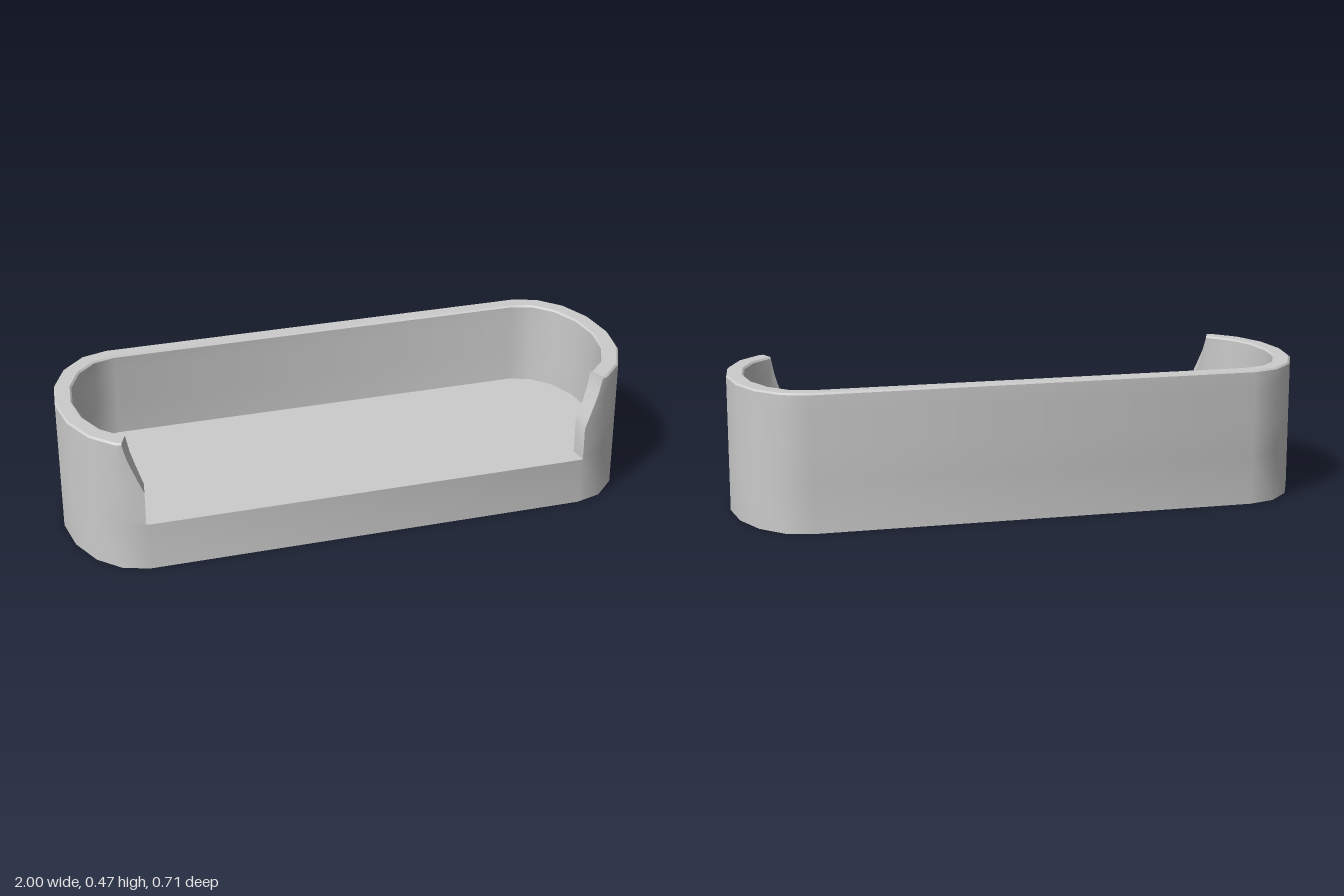
import * as THREE from 'three';
import { toCreasedNormals } from 'three/addons/utils/BufferGeometryUtils.js';

const BASE_H = 0.17;
const OUTER = { cx: 0.765, rx: 0.235, rz: 0.357 };
const INNER = { cx: 0.745, rx: 0.195, rz: 0.3 };
const STEPS = 8; // facets per rounded end

// Corner i of the +x rounded end: 0 is at the front, STEPS at the back
function corner(o, i) {
  const a = (i / STEPS) * Math.PI;
  return new THREE.Vector2(o.cx + o.rx * Math.sin(a), o.rz * Math.cos(a));
}

// Rows of the wall: height, opening (0 narrow .. 1 wide), rim chamfer
const ROWS = [
  [BASE_H, 0, 0], [0.29, 0, 0], [0.32, 0.2, 0], [0.36, 0.46, 0],
  [0.41, 0.77, 0], [0.467, 1, 0], [0.473, 1, 0.1],
];
const LAST = 2 * STEPS + 1;

// Outer or inner outline point at a station, running from the right-hand
// end of the opening around the back to the other end
function outline(o, station, open) {
  const mirrored = station > STEPS;
  const i = mirrored ? LAST - station : station;
  let p = corner(o, i);
  if (i === 0) {
    const u = o === OUTER ? 0.11 + 0.7 * open : 0.267 + 0.667 * open;
    p.lerp(corner(o, 1), u);
  }
  if (mirrored) p.x = -p.x;
  return p;
}

function wallGeometry() {
  const n = ROWS.length, loop = 2 * n, pos = [], index = [];
  // Cross-section at each station: up the outside, down the inside
  for (let s = 0; s <= LAST; s++) {
    for (let j = 0; j < loop; j++) {
      const outside = j < n;
      const [y, open, chamfer] = ROWS[outside ? j : loop - 1 - j];
      const a = outline(OUTER, s, open), b = outline(INNER, s, open);
      const p = a.lerp(b, outside ? chamfer : 1 - chamfer);
      pos.push(p.x, y, p.y);
    }
  }
  const quad = (a, b, c, d) => index.push(a, b, c, a, c, d);
  for (let s = 0; s < LAST; s++) {
    for (let j = 0; j < loop - 1; j++) {
      const a = s * loop + j, b = a + loop;
      quad(a, b, b + 1, a + 1);
    }
  }
  // End faces at both sides of the opening
  const e = LAST * loop;
  for (let k = 0; k < n - 1; k++) {
    const m = loop - 1 - k;
    quad(k, k + 1, m - 1, m);
    quad(e + m, e + m - 1, e + k + 1, e + k);
  }
  const g = new THREE.BufferGeometry();
  g.setAttribute('position', new THREE.Float32BufferAttribute(pos, 3));
  g.setIndex(index);
  return toCreasedNormals(g, 0.6);
}

function baseGeometry() {
  const pts = [];
  for (let i = 0; i <= STEPS; i++) pts.push(corner(OUTER, i));
  for (let i = STEPS; i >= 0; i--) {
    const p = corner(OUTER, i);
    pts.push(new THREE.Vector2(-p.x, p.y));
  }
  const g = new THREE.ExtrudeGeometry(new THREE.Shape(pts), { depth: BASE_H, bevelEnabled: false });
  g.rotateX(-Math.PI / 2);
  return toCreasedNormals(g, 0.6);
}

export function createModel() {
  const group = new THREE.Group();
  group.name = 'openFrontTray';
  const material = new THREE.MeshStandardMaterial({ color: 0xcccccc });
  const add = (name, geometry) => {
    const mesh = new THREE.Mesh(geometry, material);
    mesh.name = name;
    group.add(mesh);
  };
  add('base', baseGeometry());
  add('wall', wallGeometry());
  return group;
}
